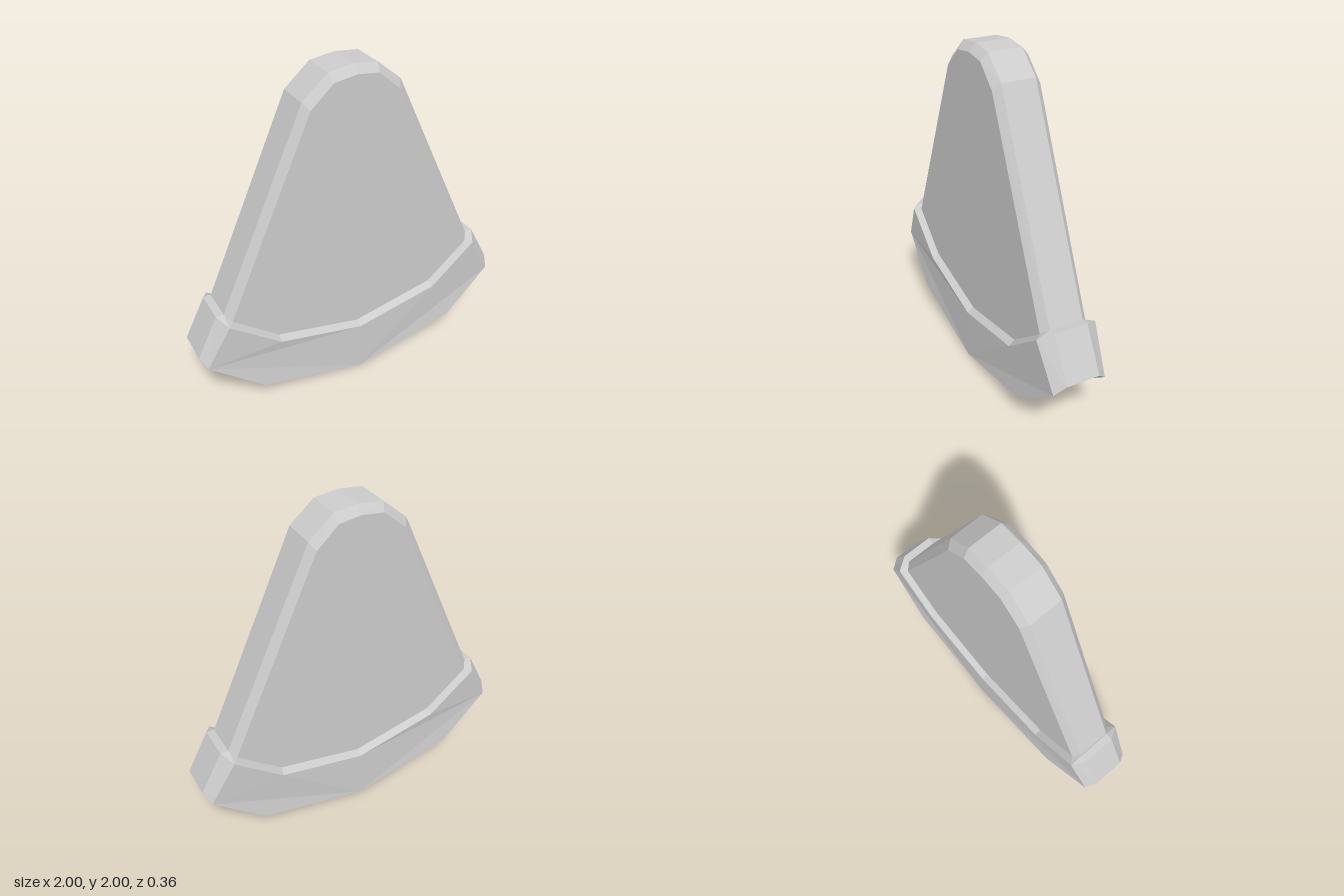
import * as THREE from 'three';

const material = new THREE.MeshStandardMaterial({ color: 0xcccccc, flatShading: true });

// Solid mirrored about z = 0: a face outline and a rim outline, both anticlockwise from the front.
function bevelledSlab(name, face, rim) {
  const flip = (ring) => ring.map(([x, y, z]) => [x, y, -z]);
  const layers = [flip(face), flip(rim), rim, face];
  const positions = [];
  const n = face.length;
  const same = (p, q) => p.every((v, k) => v === q[k]);
  const tri = (a, b, c) => {
    if (!same(a, b) && !same(b, c) && !same(a, c)) positions.push(...a, ...b, ...c);
  };

  // Back bevel, side wall, front bevel
  for (let l = 0; l < 3; l++) {
    const lo = layers[l], hi = layers[l + 1];
    for (let i = 0; i < n; i++) {
      const j = (i + 1) % n;
      tri(lo[i], lo[j], hi[j]);
      tri(lo[i], hi[j], hi[i]);
    }
  }

  // Front and back faces
  const outline = face.map(([x, y]) => new THREE.Vector2(x, y));
  for (const [a, b, c] of THREE.ShapeUtils.triangulateShape(outline, [])) {
    tri(face[a], face[b], face[c]);
    tri(layers[0][a], layers[0][c], layers[0][b]);
  }

  const geometry = new THREE.BufferGeometry();
  geometry.setAttribute('position', new THREE.Float32BufferAttribute(positions, 3));
  geometry.computeVertexNormals();
  const mesh = new THREE.Mesh(geometry, material);
  mesh.name = name;
  return mesh;
}

export function createModel() {
  const group = new THREE.Group();
  group.name = 'slice';
  const atDepth = (points, z) => points.map(([x, y]) => [x, y, z]);

  // Tapered wedge with a rounded tip; its lower edge is tucked into the crust
  const wedgeFace = atDepth([
    [-0.8, 0.65], [-0.525, 0.42], [0, 0.315], [0.525, 0.425], [0.79, 0.66],
    [0.25, 1.82], [0.12, 1.935], [-0.01, 1.95], [-0.145, 1.93], [-0.28, 1.81],
  ], 0.14);
  const wedgeRim = atDepth([
    [-0.84, 0.67], [-0.525, 0.42], [0, 0.315], [0.525, 0.425], [0.83, 0.68],
    [0.275, 1.86], [0.13, 1.98], [-0.01, 1.995], [-0.16, 1.975], [-0.31, 1.845],
  ], 0.1);
  group.add(bevelledSlab('wedge', wedgeFace, wedgeRim));

  // Thick curved crust; the end corners of the face fan out to three rim points
  const leftCorner = [-0.83, 0.657, 0.18];
  const rightCorner = [0.82, 0.67, 0.18];
  const crustFace = [
    leftCorner, [-0.97, 0.4, 0.16], [-0.65, 0.14, 0.18], [0, 0, 0.18],
    [0.66, 0.15, 0.18], [0.97, 0.41, 0.16], rightCorner, rightCorner, rightCorner,
    [0.53, 0.43, 0.18], [0, 0.32, 0.18], [-0.525, 0.425, 0.18], leftCorner, leftCorner,
  ];
  const crustRim = [
    [-0.875, 0.695, 0.1], [-1, 0.45, 0.1], [-0.65, 0.14, 0.1], [0, 0, 0.1],
    [0.66, 0.15, 0.1], [1, 0.465, 0.1], [0.865, 0.71, 0.1], [0.815, 0.705, 0.1], [0.785, 0.67, 0.14],
    [0.52, 0.455, 0.14], [0, 0.345, 0.14], [-0.525, 0.45, 0.14], [-0.795, 0.66, 0.14], [-0.83, 0.7, 0.1],
  ];
  group.add(bevelledSlab('crust', crustFace, crustRim));

  return group;
}
